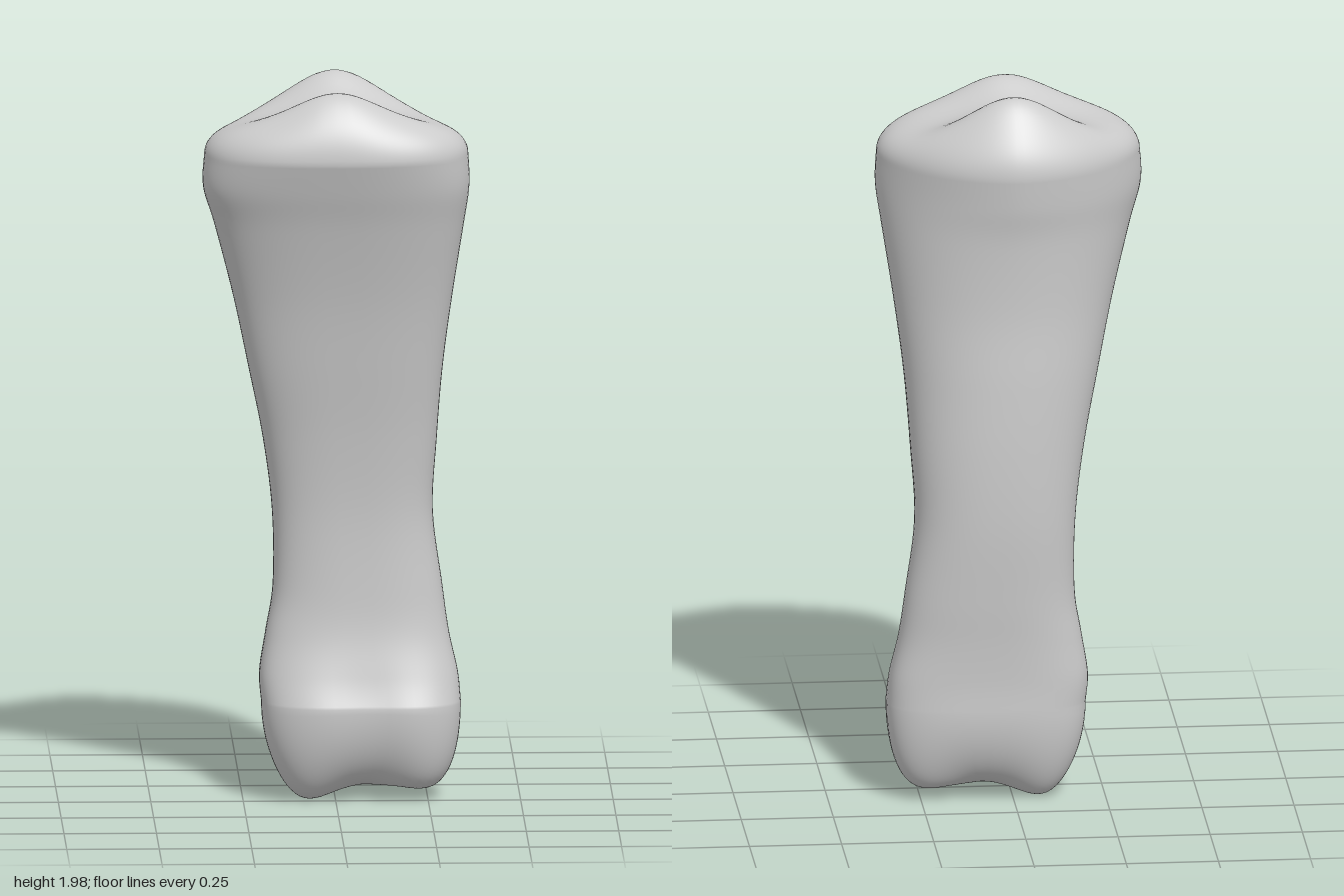
import * as THREE from 'three';

// Cross-sections: y, xMin, xMax, zMin, zMax, z of widest point, front roundness, back roundness
const SECTIONS = [
  [0.28, -0.200, 0.340, -0.200, 0.105, -0.06, 2.7, 3.0],
  [0.36, -0.205, 0.332, -0.200, 0.073, -0.07, 2.7, 2.9],
  [0.47, -0.188, 0.308, -0.207, 0.045, -0.08, 2.7, 2.6],
  [0.60, -0.168, 0.290, -0.220, 0.036, -0.09, 2.7, 2.4],
  [0.80, -0.170, 0.265, -0.236, 0.038, -0.09, 2.8, 2.3],
  [1.00, -0.195, 0.275, -0.240, 0.060, -0.07, 2.8, 2.2],
  [1.20, -0.235, 0.290, -0.235, 0.095, -0.04, 2.8, 2.1],
  [1.40, -0.277, 0.315, -0.226, 0.135, -0.01, 2.7, 2.0],
  [1.60, -0.328, 0.345, -0.234, 0.190, 0.02, 2.6, 1.85],
  [1.71, -0.360, 0.360, -0.250, 0.228, 0.04, 2.5, 1.75],
  [1.80, -0.357, 0.357, -0.260, 0.258, 0.04, 2.4, 1.75],
];
const SIDES = 72;
const SHAFT_ROWS = 70;
const CAP_ROWS = 28;

const bump = (v, centre, width) => Math.exp(-(((v - centre) / width) ** 2));

// Smooth interpolation through the section table
function sectionAt(t) {
  const last = SECTIONS.length - 1;
  const f = t * last;
  const i = Math.min(Math.floor(f), last - 1);
  const u = f - i;
  const [a, b, c, d] = [i - 1, i, i + 1, i + 2].map((k) => SECTIONS[THREE.MathUtils.clamp(k, 0, last)]);
  return b.map((_, k) => b[k] + 0.5 * u * (c[k] - a[k]
    + u * (2 * a[k] - 5 * b[k] + 4 * c[k] - d[k] + u * (3 * (b[k] - c[k]) + d[k] - a[k]))));
}

// Point on a section, scaled towards its centre by r
function outline([y, x0, x1, z0, z1, zc, front, back], angle, r) {
  const c = Math.cos(angle), s = Math.sin(angle);
  const p = 2 / (s > 0 ? front : back);
  const nx = Math.sign(c) * Math.abs(c) ** p;
  const nz = Math.sign(s) * Math.abs(s) ** p;
  const x = (x0 + x1) / 2 + r * nx * (x1 - x0) / 2;
  let z = zc + r * nz * (s > 0 ? z1 - zc : zc - z0);
  // shallow groove between the condyles, on the front only
  if (s > 0) z -= 0.018 * r * nz * bump(x, 0.09, 0.09) * bump(y, 0.25, 0.12);
  return [x, y, z];
}

// Upper joint surface: a valley across x between a front and a back lip
const jointTop = (x, z) => 1.89 + 0.04 * bump(x, 0, 0.13)
  + (0.075 * bump(z, -0.14, 0.08) + 0.052 * bump(z, 0.15, 0.08)) * bump(x, 0, 0.22);

// Lower joint surface: two condyles with a notch between them
const jointBottom = (x) => 0.055 - 0.055 * bump(x, -0.1, 0.1) - 0.017 * bump(x, 0.26, 0.08);

function boneGeometry() {
  const positions = [];
  const addRow = (section, r, height) => {
    for (let j = 0; j < SIDES; j++) {
      const angle = (j / SIDES) * Math.PI * 2;
      const p = outline(section, angle, r);
      if (height) p[1] = height(p, angle);
      positions.push(...p);
    }
  };

  // Lower end: round from front to back, squarer from side to side
  const low = SECTIONS[0];
  for (let i = 0; i < CAP_ROWS; i++) {
    const r = Math.sin((i / CAP_ROWS) * Math.PI / 2);
    addRow(low, r, ([x, y], a) => {
      const c = Math.cos(a);
      const k = 2.2 + c * c * (c > 0 ? 5 : 1.8);
      return y + (jointBottom(x) - y) * Math.sqrt(1 - r ** k);
    });
  }
  // Shaft
  for (let i = 0; i <= SHAFT_ROWS; i++) addRow(sectionAt(i / SHAFT_ROWS), 1);
  // Upper end
  const high = SECTIONS[SECTIONS.length - 1];
  for (let i = CAP_ROWS - 1; i >= 0; i--) {
    const r = Math.sin((i / CAP_ROWS) * Math.PI / 2);
    addRow(high, r, ([x, y, z]) => y + (jointTop(x, z) - y) * Math.sqrt(1 - r ** 5));
  }

  const index = [];
  const rows = positions.length / 3 / SIDES;
  for (let i = 0; i < rows - 1; i++) {
    for (let j = 0; j < SIDES; j++) {
      const a = i * SIDES + j, b = i * SIDES + (j + 1) % SIDES;
      const c = a + SIDES, d = b + SIDES;
      if (i < rows - 2) index.push(a, c, d);
      else index.push(a, c, b);
      if (i > 0 && i < rows - 2) index.push(a, d, b);
    }
  }
  const geometry = new THREE.BufferGeometry();
  geometry.setAttribute('position', new THREE.Float32BufferAttribute(positions, 3));
  geometry.setIndex(index);
  geometry.computeVertexNormals();
  return geometry;
}

export function createModel() {
  const group = new THREE.Group();
  group.name = 'toeBone';
  const bone = new THREE.Mesh(boneGeometry(), new THREE.MeshStandardMaterial({ color: 0xcccccc }));
  bone.name = 'bone';
  group.add(bone);
  return group;
}
